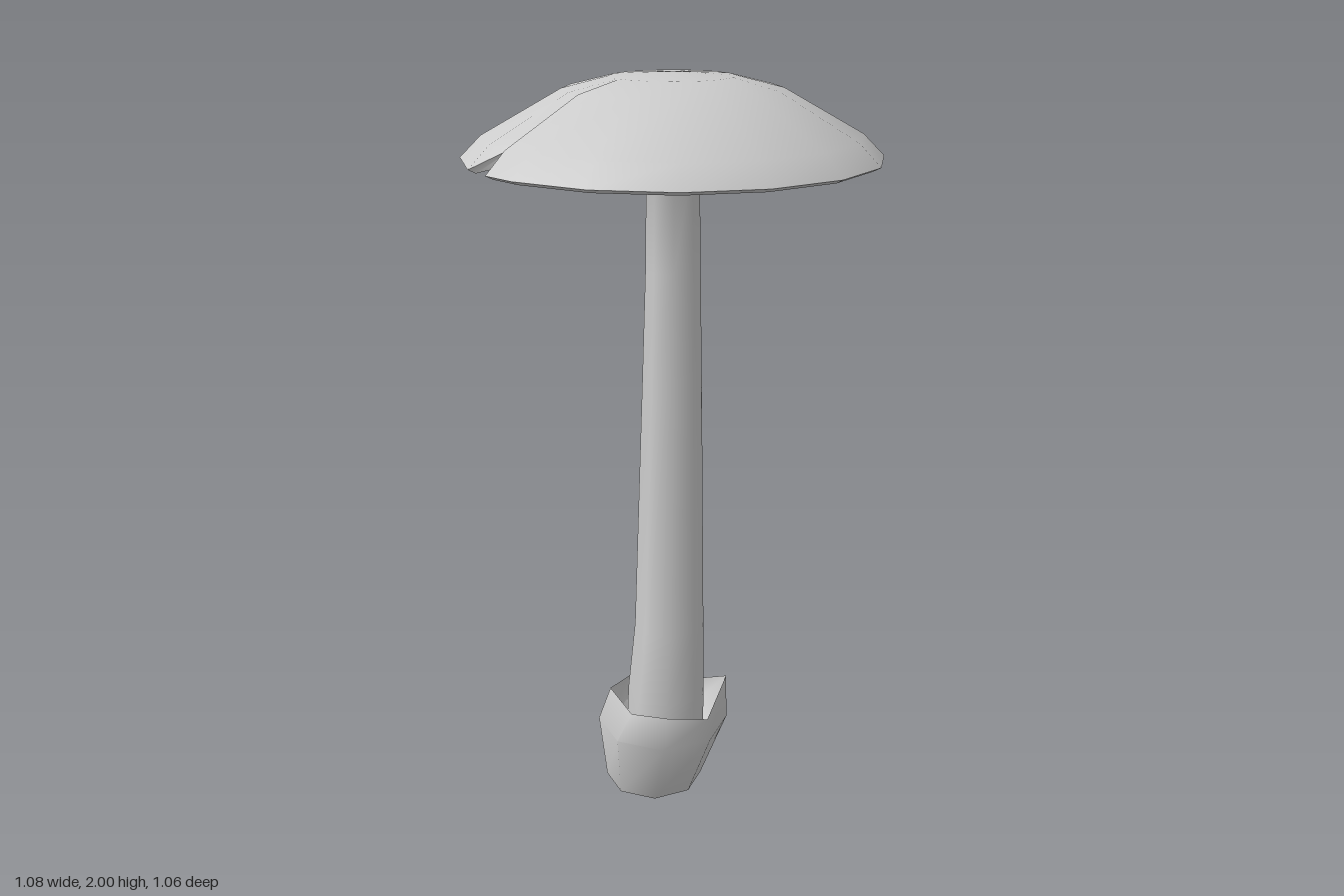
import * as THREE from 'three';
import { toCreasedNormals } from 'three/addons/utils/BufferGeometryUtils.js';

const material = new THREE.MeshStandardMaterial({ color: 0xcccccc, side: THREE.DoubleSide });

// Skin closed cross-sections (arrays of Vector3, listed along the surface) into one mesh.
function loft(name, rings, crease) {
  const n = rings[0].length;
  const position = [];
  const tri = new THREE.Triangle();
  const addFace = (a, b, c) => {
    if (tri.set(a, b, c).getArea() > 1e-7) {
      for (const p of [a, b, c]) position.push(p.x, p.y, p.z);
    }
  };
  for (let r = 0; r < rings.length - 1; r++) {
    for (let i = 0; i < n; i++) {
      const j = (i + 1) % n;
      const [a, b, c, d] = [rings[r][i], rings[r][j], rings[r + 1][i], rings[r + 1][j]];
      addFace(a, c, b);
      addFace(b, c, d);
    }
  }
  const geometry = new THREE.BufferGeometry();
  geometry.setAttribute('position', new THREE.Float32BufferAttribute(position, 3));
  const mesh = new THREE.Mesh(toCreasedNormals(geometry, crease), material);
  mesh.name = name;
  return mesh;
}

// Regular horizontal ring
function circle(x, y, z, radius, sides = 8) {
  return Array.from({ length: sides }, (_, i) => {
    const a = (i / sides) * Math.PI * 2;
    return new THREE.Vector3(x + radius * Math.cos(a), y, z + radius * Math.sin(a));
  });
}

// Thin domed cap: 16 spokes, with two tears made by spokes that stop short of the rim
function createCap() {
  const under = [[0, 1.94], [0.1, 1.94], [0.27, 1.92], [0.46, 1.82], [0.52, 1.78]];
  const top = [[0.54, 1.79], [0.485, 1.845], [0.28, 1.96], [0.16, 1.99], [0, 2]];

  const spokes = [];
  for (let i = 0; i < 16; i++) if (i !== 14) spokes.push({ angle: i * 22.5 });
  spokes.push(
    // long narrow slit
    { angle: 312.3 }, { angle: 314, reach: 0.29 }, { angle: 315.4 },
    // short wide notch with a sunken crease
    { angle: 146.2 }, { angle: 148.5, reach: 0.44, sink: 0.02 },
  );
  spokes.sort((a, b) => a.angle - b.angle);

  const heightAt = (profile, r) => {
    for (let k = 0; k < profile.length - 1; k++) {
      const [r0, y0] = profile[k], [r1, y1] = profile[k + 1];
      if ((r - r0) * (r - r1) <= 0) return y0 + ((y1 - y0) * (r - r0)) / (r1 - r0);
    }
    return profile[0][1];
  };

  const rings = [under, top].flatMap((profile) => profile.map(([radius]) =>
    spokes.map(({ angle, reach = 1, sink = 0 }) => {
      const a = THREE.MathUtils.degToRad(angle);
      const r = Math.min(radius, reach);
      const y = heightAt(profile, r) - (r > 0.25 ? sink : 0);
      return new THREE.Vector3(r * Math.cos(a), y, 0.98 * r * Math.sin(a));
    })));
  return loft('cap', rings, 1.0);
}

// Leaning, tapering stem that flares where it joins the cap
function createStem() {
  const sections = [ // x, y, z, radius
    [-0.025, 0.1, 0.075, 0.11],
    [-0.022, 0.3, 0.072, 0.107],
    [-0.012, 0.5, 0.06, 0.096],
    [-0.003, 1.18, 0.022, 0.08],
    [0, 1.5, 0.013, 0.072],
    [0, 1.79, 0.01, 0.068],
    [0, 1.85, 0.005, 0.096],
    [0, 1.91, 0, 0.098],
    [0, 1.95, 0, 0.075],
  ];
  return loft('stem', sections.map((s) => circle(...s)), 1.2);
}

// Open cup with a jagged rim around the foot of the stem
function createCup() {
  const rim = [
    [0.148, 0.345, 0.09], [0.09, 0.27, 0.2], [-0.02, 0.3, 0.245], [-0.12, 0.29, 0.2],
    [-0.18, 0.3, 0.07], [-0.13, 0.28, -0.03], [-0.02, 0.34, -0.07], [0.09, 0.27, -0.035],
  ].map((p) => new THREE.Vector3(...p));
  return loft('cup', [
    circle(-0.057, 0, 0.04, 0),
    circle(-0.057, 0, 0.04, 0.137),
    circle(-0.031, 0.205, 0.072, 0.183),
    rim,
    circle(-0.03, 0.2, 0.072, 0.15),
    circle(-0.03, 0.15, 0.072, 0.1),
  ], 1.0);
}

export function createModel() {
  const group = new THREE.Group();
  group.name = 'mushroom';
  group.add(createCap(), createStem(), createCup());
  return group;
}
